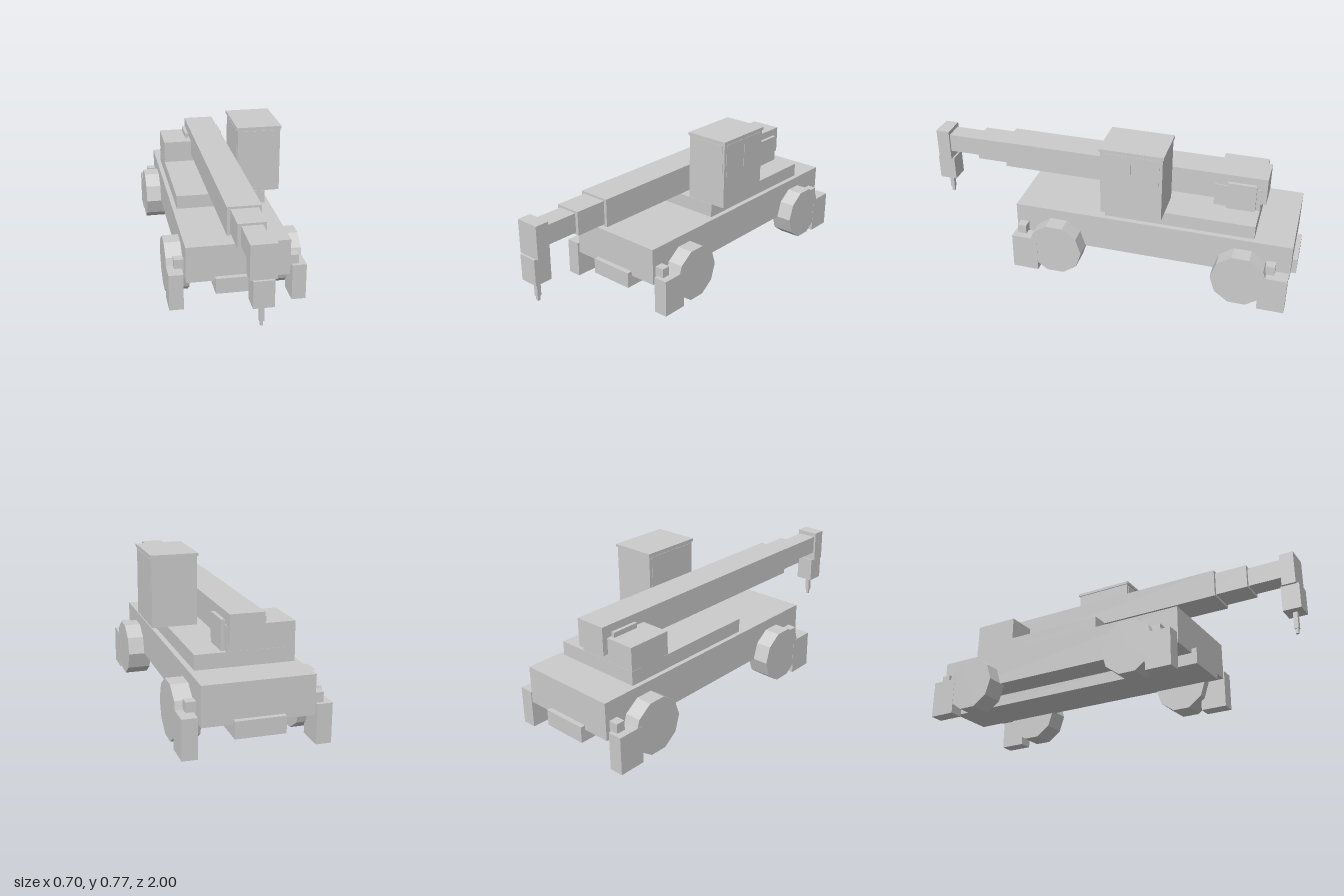
import * as THREE from 'three';

const material = new THREE.MeshStandardMaterial({ color: 0xcccccc, flatShading: true });

export function createModel() {
  const model = new THREE.Group();
  model.name = 'mobileCrane';

  // Box given by its extents along x, y and z
  function box(name, x0, x1, y0, y1, z0, z1, parent = model) {
    const mesh = new THREE.Mesh(new THREE.BoxGeometry(x1 - x0, y1 - y0, z1 - z0), material);
    mesh.position.set((x0 + x1) / 2, (y0 + y1) / 2, (z0 + z1) / 2);
    mesh.name = name;
    parent.add(mesh);
    return mesh;
  }

  function group(name) {
    const g = new THREE.Group();
    g.name = name;
    model.add(g);
    return g;
  }

  // Carrier: body over a narrow frame whose ends form the bumpers
  box('carrierBody', -0.263, 0.263, 0.145, 0.336, -0.975, 0.457);
  box('chassisFrame', -0.119, 0.119, 0.086, 0.168, -1, 0.485);

  // Ten-sided wheels
  const wheels = group('wheels');
  const wheelGeometry = new THREE.CylinderGeometry(0.143, 0.143, 0.118, 10).rotateZ(Math.PI / 2);
  for (const side of [-1, 1]) {
    for (const z of [0.225, -0.735]) {
      const wheel = new THREE.Mesh(wheelGeometry, material);
      wheel.name = 'wheel';
      wheel.position.set(side * 0.288, 0.146, z);
      wheels.add(wheel);
    }
  }

  // Outriggers: a leg at each corner, with beams staggered left and right
  const outriggers = group('outriggers');
  for (const side of [-1, 1]) {
    for (const [legZ, beamZ] of [[0.39, 0.39], [-0.903, -0.905]]) {
      const x = side * 0.3115;
      box('outriggerLeg', x - 0.0365, x + 0.0365, 0, 0.192, legZ - 0.068, legZ + 0.068, outriggers);
      const z = beamZ + side * 0.025;
      const ends = [side * 0.2, side * 0.311].sort((a, b) => a - b);
      box('outriggerBeam', ends[0], ends[1], 0.18, 0.24, z - 0.023, z + 0.023, outriggers);
    }
  }

  // Superstructure
  box('turntableDeck', -0.24, 0.237, 0.33, 0.408, -0.783, -0.018);
  box('counterweight', -0.239, 0.088, 0.4, 0.527, -0.782, -0.548);
  for (const side of [-1, 1]) {
    const x = side * 0.098;
    box('boomBracket', x - 0.009, x + 0.009, 0.405, 0.553, -0.76, -0.615);
  }

  // Cab overhanging the deck edge, with thin window panels
  const cab = group('cab');
  box('cabBody', 0.088, 0.315, 0.409, 0.755, -0.328, -0.018, cab);
  box('cabRoof', 0.083, 0.32, 0.753, 0.768, -0.334, -0.012, cab);
  box('frontWindow', 0.1, 0.303, 0.575, 0.745, -0.03, -0.016, cab);
  box('sideWindow', 0.3, 0.317, 0.575, 0.745, -0.17, -0.035, cab);
  box('sideWindow', 0.3, 0.317, 0.575, 0.745, -0.312, -0.178, cab);
  box('innerWindow', 0.086, 0.1, 0.575, 0.745, -0.312, -0.035, cab);

  // Telescopic boom: half width, bottom, top, back, front
  const boom = group('boom');
  const sections = [
    [0.083, 0.445, 0.588, -0.81, 0.58],
    [0.067, 0.457, 0.577, 0.5, 0.747],
    [0.05, 0.468, 0.566, 0.7, 0.93],
  ];
  for (const [w, y0, y1, z0, z1] of sections) box('boomSection', -w, w, y0, y1, z0, z1, boom);
  box('boomHead', -0.061, 0.061, 0.42, 0.588, 0.917, 0.988, boom);

  // Hook block hanging from the head
  const hook = group('hook');
  box('hookBlock', -0.048, 0.048, 0.29, 0.421, 0.907, 1, hook);
  box('hookShank', -0.011, 0.011, 0.205, 0.292, 0.944, 0.966, hook);
  box('hookTip', -0.007, 0.007, 0.18, 0.207, 0.948, 0.962, hook);

  return model;
}
